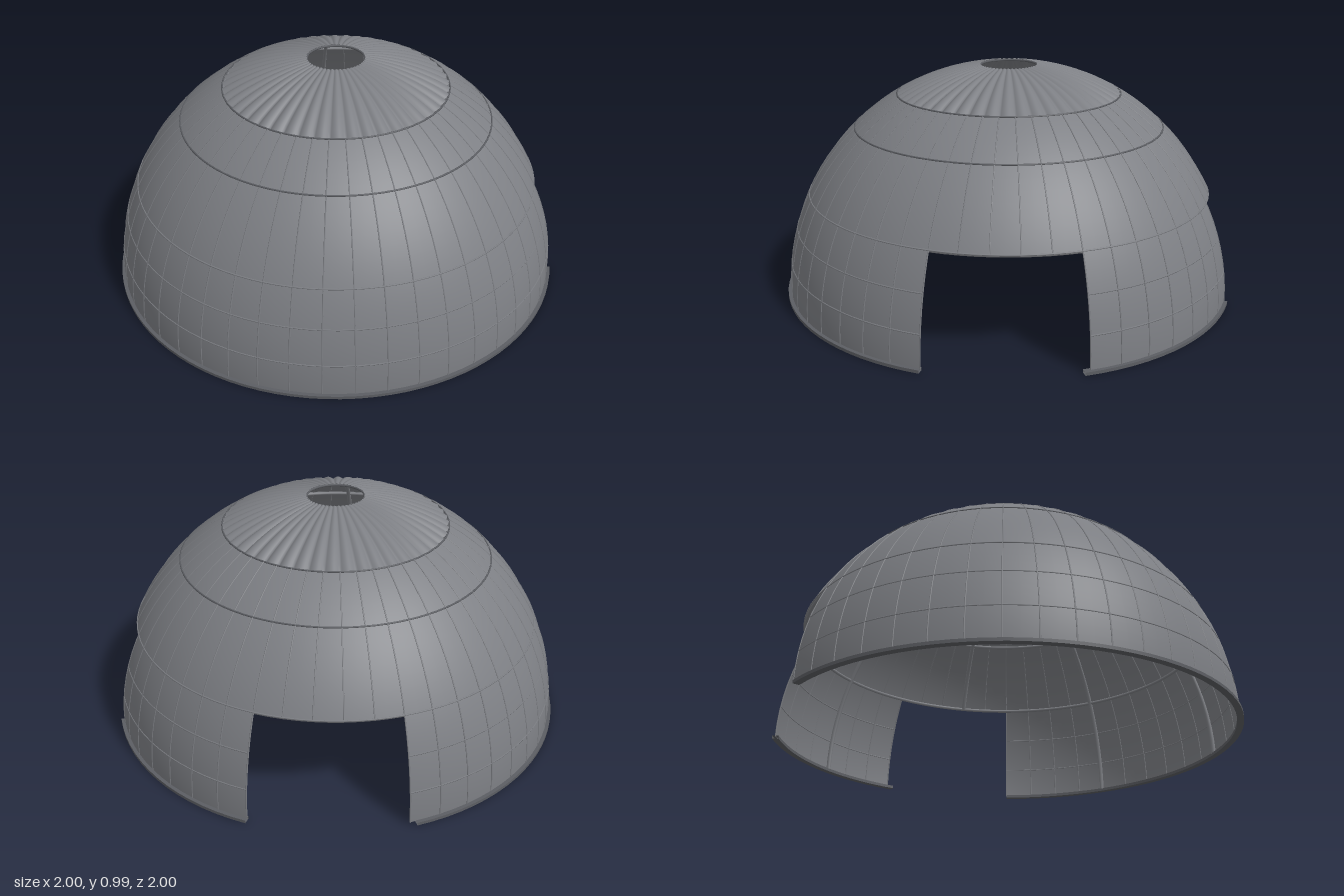
import * as THREE from 'three';
import { toCreasedNormals } from 'three/addons/utils/BufferGeometryUtils.js';

const R = 0.985;        // dome radius
const BASE = 0.01;      // height of the dome's centre
const GORES = 48;       // panels around
const STEP = 360 / GORES;
const LAT = { low: 8, mid: 17, door: 26.3, upper: 46.7, cap: 60.3, eye: 82.8 };
const rad = THREE.MathUtils.degToRad;

// Wall runs left standing between the two doorways, in degrees from +x towards +z
const WALLS = [[-30, 22.5], [60, 292.5]];
const isWall = (a) => WALLS.some(([s, e]) => [a, a - 360].some((v) => v >= s - 0.01 && v <= e + 0.01));

const onDome = (lat, a, r = R) => new THREE.Vector3(
  r * Math.cos(rad(lat)) * Math.cos(rad(a)),
  BASE + r * Math.sin(rad(lat)),
  r * Math.cos(rad(lat)) * Math.sin(rad(a)));

// Tube following the dome between two latitude/angle positions
function bar(lat0, lat1, a0, a1, r, thick, sides) {
  const n = Math.max(8, Math.ceil(Math.max(lat1 - lat0, a1 - a0) / 3.75));
  const closed = a1 - a0 >= 360;
  const pts = [];
  for (let i = 0; i < n + (closed ? 0 : 1); i++) {
    const t = i / n;
    pts.push(onDome(lat0 + (lat1 - lat0) * t, a0 + (a1 - a0) * t, r));
  }
  return new THREE.TubeGeometry(new THREE.CatmullRomCurve3(pts, closed), n, thick, sides, closed);
}

// Section of the dome between latitudes and angles
function patch(lat0, lat1, a0, a1, perGore = 2, rows = 12) {
  const cols = Math.round((a1 - a0) / STEP) * perGore;
  const g = new THREE.SphereGeometry(R, cols, rows, rad(180 - a1), rad(a1 - a0), rad(90 - lat1), rad(lat1 - lat0));
  return g.translate(0, BASE, 0);
}

export function createModel() {
  const model = new THREE.Group();
  const steel = new THREE.MeshStandardMaterial({ color: 0x7d7f84, side: THREE.DoubleSide });
  steel.name = 'grey steel';
  const dark = new THREE.MeshStandardMaterial({ color: 0x5c5e63, side: THREE.DoubleSide });
  dark.name = 'dark steel';
  const add = (name, geometry, material = steel, parent = model) => {
    const mesh = new THREE.Mesh(geometry, material);
    mesh.name = name;
    parent.add(mesh);
    return mesh;
  };
  const group = (name) => {
    const g = new THREE.Group();
    g.name = name;
    model.add(g);
    return g;
  };

  // Shell: lower walls with doorways, then the unbroken upper dome
  for (const [s, e] of WALLS) add('lowerWall', patch(0, LAT.door, s, e));
  add('upperDome', patch(LAT.door, LAT.cap, 0, 360));

  // Fluted cap: each gore bulges between its valleys
  const cap = patch(LAT.cap, LAT.eye, 0, 360, 8, 10);
  const pos = cap.attributes.position;
  const v = new THREE.Vector3();
  for (let i = 0; i < pos.count; i++) {
    v.fromBufferAttribute(pos, i);
    const width = Math.hypot(v.x, v.z) * rad(STEP);
    const bulge = Math.abs(Math.sin(Math.atan2(v.z, v.x) * GORES / 2));
    v.y -= BASE;
    v.setLength(R + (bulge - 0.8) * 0.22 * width);
    pos.setXYZ(i, v.x, v.y + BASE, v.z);
  }
  cap.computeVertexNormals();
  add('flutedCap', cap);

  // Base flange, its ends slightly past the second doorway's edges
  const profile = [[0.972, 0], [1, 0], [1, 0.013], [0.972, 0.013], [0.972, 0]].map(([x, y]) => new THREE.Vector2(x, y));
  for (const [s, e] of [[-30, 24], [60, 291]]) {
    const flange = new THREE.LatheGeometry(profile, Math.round((e - s) / 3.75), rad(90 - e), rad(e - s));
    add('baseFlange', toCreasedNormals(flange, 0.6), dark);
  }

  // Vertical panel seams
  const seams = group('panelSeams');
  for (let i = 0; i < GORES; i++) {
    const a = i * STEP;
    add('verticalSeam', bar(isWall(a) ? 0 : LAT.door, LAT.cap, a, a, R, 0.003, 5), steel, seams);
  }

  // Horizontal panel seams
  for (const lat of [LAT.low, LAT.mid])
    for (const [s, e] of WALLS) add('wallSeam', bar(lat, lat, s, e, R, 0.003, 5), steel, seams);
  add('doorHeadSeam', bar(LAT.door, LAT.door, 0, 360, R, 0.0035, 6), steel, seams);
  for (const lat of [LAT.upper, LAT.cap])
    add('upperSeam', bar(lat, lat, 0, 360, R, 0.004, 6), dark, seams);

  // Inner frame: eight ribs and three hoops
  const frame = group('innerFrame');
  for (let a = 0; a < 360; a += 45)
    add('rib', bar(isWall(a) ? 0 : LAT.door, LAT.cap, a, a, R - 0.01, 0.01, 6), steel, frame);
  for (const lat of [LAT.door, LAT.upper, LAT.cap])
    add('hoop', bar(lat, lat, 0, 360, R - 0.009, 0.008, 6), steel, frame);

  // Collar around the open eye at the top
  const collar = add('eyeCollar', new THREE.TorusGeometry(0.124, 0.005, 6, 48), dark);
  collar.rotation.x = Math.PI / 2;
  collar.position.y = BASE + R * Math.sin(rad(LAT.eye)) - 0.006;

  return model;
}
